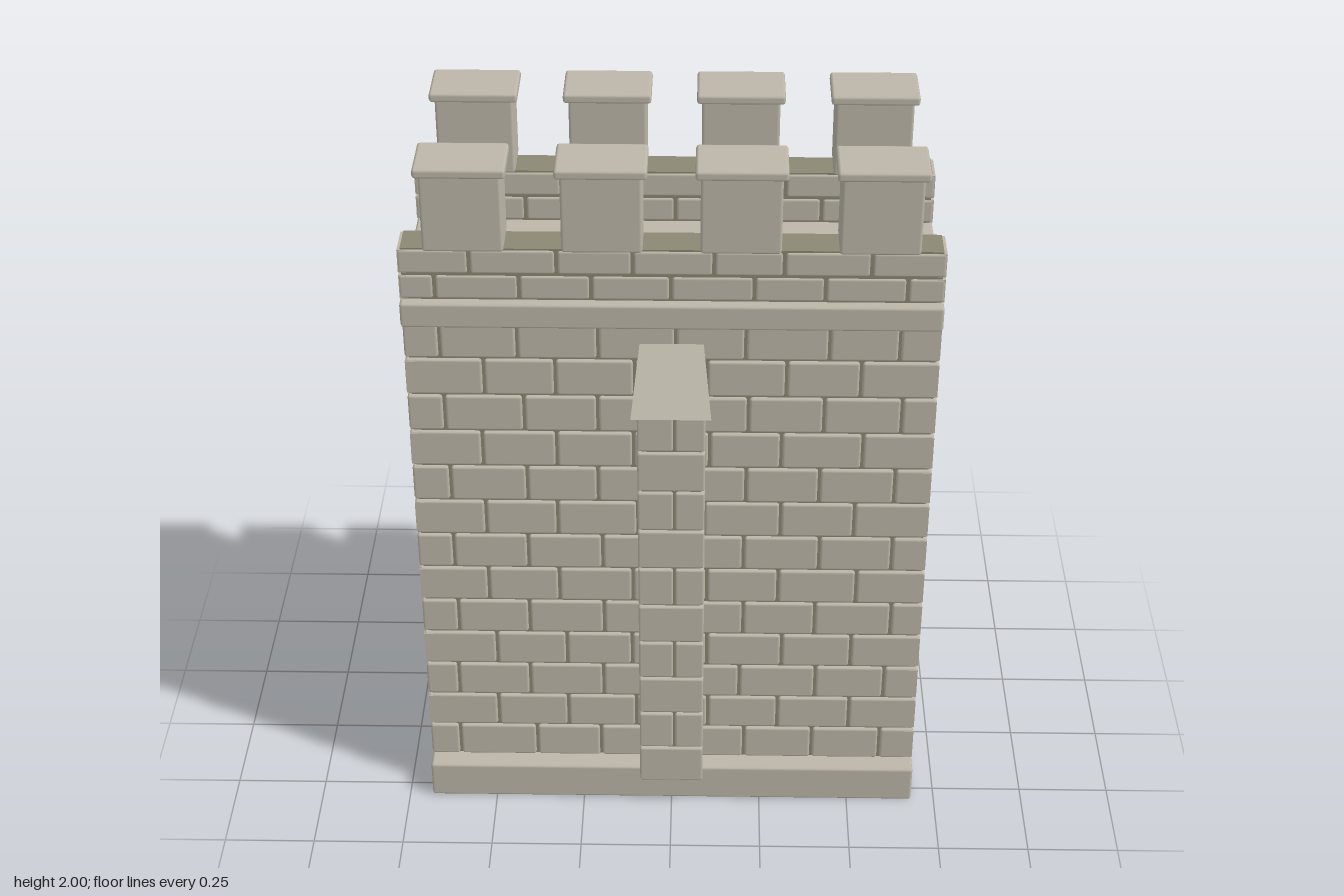
import * as THREE from 'three';
import { mergeGeometries } from 'three/addons/utils/BufferGeometryUtils.js';
import { RoundedBoxGeometry } from 'three/addons/geometries/RoundedBoxGeometry.js';

const stone = new THREE.MeshStandardMaterial({ color: 0xbcb7a9, side: THREE.DoubleSide });
stone.name = 'pale stone';
const mortar = new THREE.MeshStandardMaterial({ color: 0x8b8874 });
mortar.name = 'mortar';

// Box given by its min and max on each axis; r > 0 softens the edges
function block(x0, x1, y0, y1, z0, z1, r = 0) {
  const w = x1 - x0, h = y1 - y0, d = z1 - z0;
  const g = r ? new RoundedBoxGeometry(w, h, d, 1, r) : new THREE.BoxGeometry(w, h, d).toNonIndexed();
  return g.translate((x0 + x1) / 2, (y0 + y1) / 2, (z0 + z1) / 2);
}

function add(parent, name, geometry, material = stone) {
  const m = new THREE.Mesh(geometry, material);
  m.name = name;
  parent.add(m);
  return m;
}

// Small repeatable variation for the joint positions
let seed = 7;
const jitter = (a) => {
  seed = (seed * 16807) % 2147483647;
  return (seed / 2147483647 - 0.5) * 2 * a;
};

// Joint positions along one course, ends included
function joints(from, to, first, pitch, wobble) {
  const list = [from];
  for (let p = first; p < to - 0.04; p += pitch) list.push(p + jitter(wobble));
  list.push(to);
  return list;
}

const X = 0.685, Z = 0.25, ROWS = 13, Y0 = 0.11, ROW = 1.44 / ROWS;

// Softened bricks of one long face, pointing to +z
function faceBricks(y0, rows, rowH, zIn, zOut) {
  const parts = [];
  for (let i = 0; i < rows; i++) {
    const j = joints(-X, X, i % 2 ? -0.495 : -0.59, 0.197, 0.012);
    const y = y0 + i * rowH;
    for (let k = 0; k < j.length - 1; k++) {
      const a = k ? j[k] + 0.004 : j[k];
      const b = k < j.length - 2 ? j[k + 1] - 0.004 : j[k + 1];
      parts.push(block(a, b, y + 0.003, y + rowH - 0.003, zIn, zOut, 0.007));
    }
  }
  return mergeGeometries(parts);
}

// Sharp bricks of one narrow end, pointing to +x
function endBricks() {
  const parts = [];
  for (let i = 0; i < ROWS; i++) {
    const j = joints(-Z, Z, i % 2 ? -0.16 : -0.05, 0.21, 0.015);
    if (i % 2 === 0) j.splice(1, 0, -0.235);
    const y = Y0 + i * ROW;
    for (let k = 0; k < j.length - 1; k++) {
      const a = k ? j[k] + 0.008 : j[k];
      const b = k < j.length - 2 ? j[k + 1] - 0.008 : j[k + 1];
      if (b - a > 0.03) parts.push(block(a, b, y + 0.008, y + ROW - 0.008, -0.685, -0.66));
    }
  }
  return mergeGeometries(parts).rotateY(-Math.PI / 2);
}

// Everything that belongs to one long side, built facing +z
function createSide() {
  const side = new THREE.Group();
  add(side, 'wallBricks', faceBricks(Y0, ROWS, ROW, 0.226, Z));
  add(side, 'endBricks', endBricks());

  // Narrow buttress of stacked stones
  const stones = [], pitch = 0.1245;
  for (let i = 0; i < 10; i++) {
    const y = 0.098 + i * pitch, t = y + pitch - 0.006;
    if (i % 2) {
      stones.push(block(-0.088, 0.005, y, t, 0.2, 0.34, 0.006));
      stones.push(block(0.011, 0.088, y, t, 0.2, 0.34, 0.006));
    } else stones.push(block(-0.088, 0.088, y, t, 0.2, 0.34, 0.006));
  }
  add(side, 'buttressStones', mergeGeometries(stones));
  add(side, 'buttressCore', block(-0.078, 0.078, 0.105, 1.33, 0.2, 0.33), mortar);

  // Sloping slab over the buttress, wider at its lower edge
  const slab = new THREE.PlaneGeometry(2, 1);
  const p = slab.attributes.position;
  for (let i = 0; i < p.count; i++) {
    const top = p.getY(i) > 0;
    p.setXYZ(i, p.getX(i) * (top ? 0.082 : 0.103), top ? 1.49 : 1.34, top ? 0.25 : 0.375);
  }
  slab.computeVertexNormals();
  add(side, 'buttressSlope', slab);

  // Parapet: mortar core with two courses on both faces
  const py = 1.62, ph = 0.0725;
  add(side, 'parapetCore', block(-0.677, 0.677, 1.6, 1.766, 0.165, 0.255), mortar);
  add(side, 'parapetOuterBricks', faceBricks(py, 2, ph, 0.24, 0.26));
  add(side, 'parapetInnerBricks', faceBricks(py, 2, ph, 0.16, 0.18));
  const ends = [];
  for (const s of [-1, 1])
    for (let i = 0; i < 2; i++) {
      const y = py + i * ph, a = s * 0.665, b = s * X;
      ends.push(block(Math.min(a, b), Math.max(a, b), y + 0.004, y + ph - 0.004, 0.162, 0.258));
    }
  add(side, 'parapetEndBricks', mergeGeometries(ends));

  // Four capped merlons
  for (let i = 0; i < 4; i++) {
    const x = -0.518 + i * 0.3453;
    add(side, 'merlon', block(x - 0.101, x + 0.101, 1.765, 1.985, 0.15, 0.275, 0.008));
    add(side, 'merlonCap', block(x - 0.114, x + 0.114, 1.974, 2, 0.134, 0.289, 0.008));
  }
  return side;
}

export function createModel() {
  const model = new THREE.Group();
  model.name = 'castleWall';
  add(model, 'base', block(-X, X, 0, 0.112, -0.3, 0.3, 0.008));
  add(model, 'wallCore', block(-0.675, 0.675, 0.05, 1.57, -0.24, 0.24), mortar);
  add(model, 'walkway', block(-X, X, 1.55, 1.62, -0.283, 0.283, 0.008));

  const front = createSide();
  front.name = 'frontSide';
  const back = createSide();
  back.name = 'backSide';
  back.rotation.y = Math.PI;
  model.add(front, back);
  return model;
}
